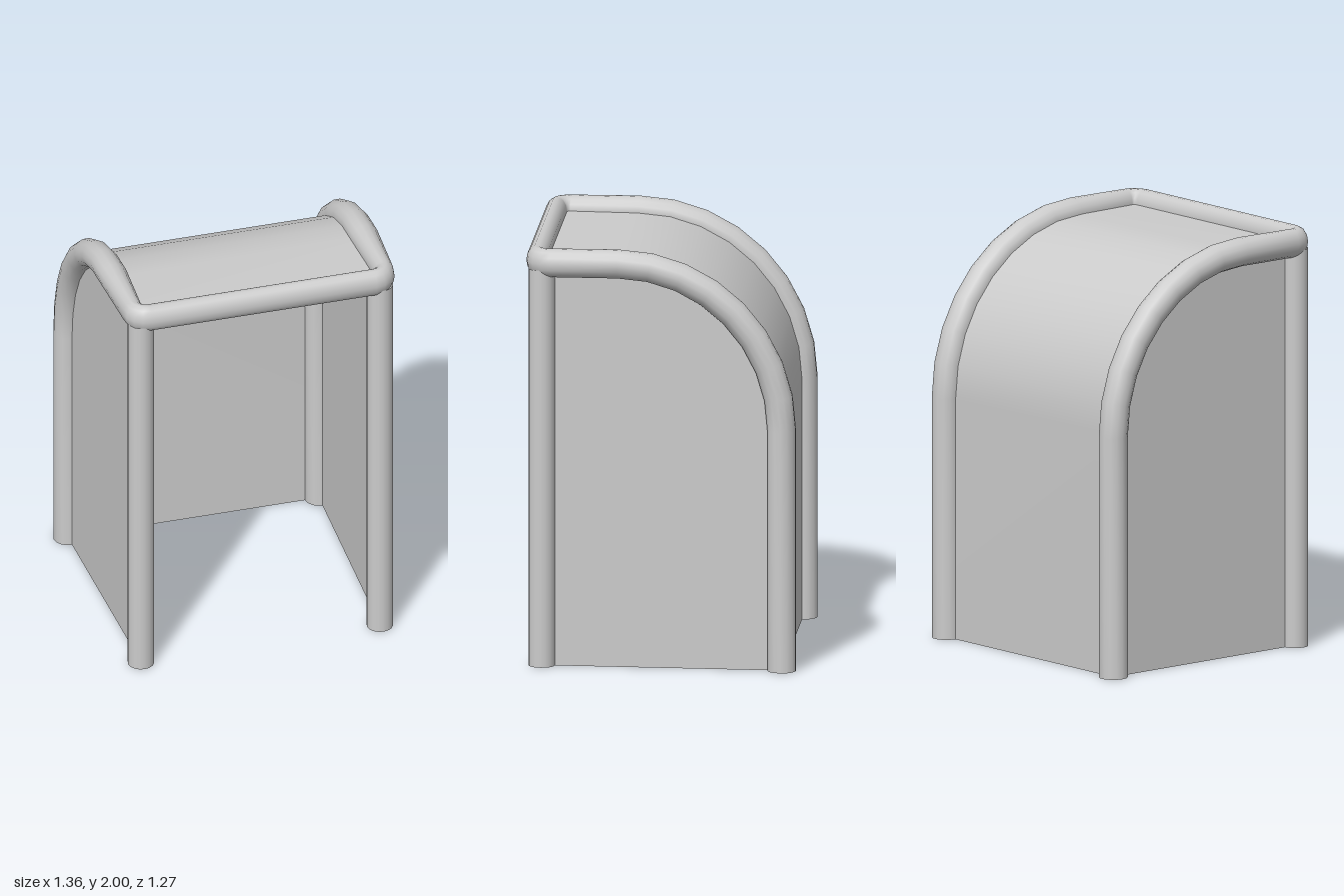
import * as THREE from 'three';

const RADIAL = 14, ARC = 8, LEG_X = 0.612, BACK_Z = -0.57, TOP_Y = 1.932, BEND_Y = 1.15, BEND_Z = 0.2, FRONT_Z = 0.56;
const V = (x, y, z) => new THREE.Vector3(x, y, z);
const material = new THREE.MeshStandardMaterial({ color: 0xcccccc, side: THREE.DoubleSide });

// Side outline as [z, y]: up the back, around the bend and forward along the top
function sideProfile(frontZ) {
  const pts = [[BACK_Z, 0]];
  for (let i = 0; i <= ARC; i++) {
    const t = (i / ARC) * Math.PI / 2;
    pts.push([BEND_Z + (BACK_Z - BEND_Z) * Math.cos(t), BEND_Y + (TOP_Y - BEND_Y) * Math.sin(t)]);
  }
  pts.push([frontZ, TOP_Y]);
  return pts;
}

// Rail stations for one half: centre, outward axis, upper axis, half width
function halfRail() {
  const rows = [];
  sideProfile(0).slice(0, -1).forEach(([z, y], k) => {
    const t = (Math.max(k - 1, 0) / ARC) * Math.PI / 2;
    rows.push({ p: V(LEG_X, y, z), s: V(1, 0, 0), b: V(0, Math.sin(t), -Math.cos(t)), w: 0.068 });
  });
  const r = 0.065;
  for (let i = 0; i <= 4; i++) {
    const f = (i / 4) * Math.PI / 2, c = Math.cos(f), s = Math.sin(f);
    rows.push({ p: V(LEG_X - r + r * c, TOP_Y, 0.52 + r * s), s: V(c, 0, s), b: V(0, 1, 0), w: 0.05 });
  }
  return rows;
}

// Continuous rail: oval section swept up one back leg, round the front and down the other
function railGeometry() {
  const half = halfRail();
  const flip = (v) => V(-v.x, v.y, v.z);
  const rows = half.concat(half.map((o) => ({ p: flip(o.p), s: flip(o.s), b: o.b, w: o.w })).reverse());
  const pos = [], index = [];
  rows.forEach(({ p, s, b, w }, i) => {
    for (let j = 0; j < RADIAL; j++) {
      const a = (j / RADIAL) * Math.PI * 2;
      const q = p.clone().addScaledVector(s, w * Math.cos(a)).addScaledVector(b, 0.068 * Math.sin(a));
      pos.push(q.x, q.y, q.z);
      if (i === rows.length - 1) continue;
      const A = i * RADIAL + j, B = i * RADIAL + (j + 1) % RADIAL;
      index.push(A, B, A + RADIAL, B, B + RADIAL, A + RADIAL);
    }
  });
  const g = new THREE.BufferGeometry();
  g.setAttribute('position', new THREE.Float32BufferAttribute(pos, 3));
  g.setIndex(index);
  g.computeVertexNormals();
  return g;
}

// Curved sheet forming the back and the roof
function backAndRoofGeometry() {
  const prof = sideProfile(0.58);
  const g = new THREE.PlaneGeometry(LEG_X * 2, 1, 1, prof.length - 1);
  const a = g.attributes.position;
  for (let i = 0; i < a.count; i++) {
    const [z, y] = prof[Math.floor(i / 2)];
    a.setXYZ(i, a.getX(i), y, z);
  }
  g.computeVertexNormals();
  return g;
}

// Flat side sheet, slightly narrower at the front
function sidePanelGeometry(side) {
  const outline = sideProfile(FRONT_Z).concat([[FRONT_Z, 0]]).map(([z, y]) => new THREE.Vector2(z, y));
  const g = new THREE.ShapeGeometry(new THREE.Shape(outline));
  const a = g.attributes.position;
  for (let i = 0; i < a.count; i++) {
    const z = a.getX(i), y = a.getY(i);
    a.setXYZ(i, side * THREE.MathUtils.mapLinear(z, BACK_Z, FRONT_Z, LEG_X, 0.582), y, z);
  }
  g.computeVertexNormals();
  return g;
}

export function createModel() {
  const group = new THREE.Group();
  group.name = 'shelter';
  const add = (name, geometry) => {
    const mesh = new THREE.Mesh(geometry, material);
    mesh.name = name;
    group.add(mesh);
    return mesh;
  };

  add('tubeRail', railGeometry());
  add('backAndRoofPanel', backAndRoofGeometry());

  for (const [side, label] of [[1, 'left'], [-1, 'right']]) {
    add(label + 'SidePanel', sidePanelGeometry(side));
    // Open-ended front post
    add(label + 'FrontPost', new THREE.CylinderGeometry(0.062, 0.062, 1.9, 16, 1, true))
      .position.set(side * 0.582, 0.95, FRONT_Z);
  }
  return group;
}
